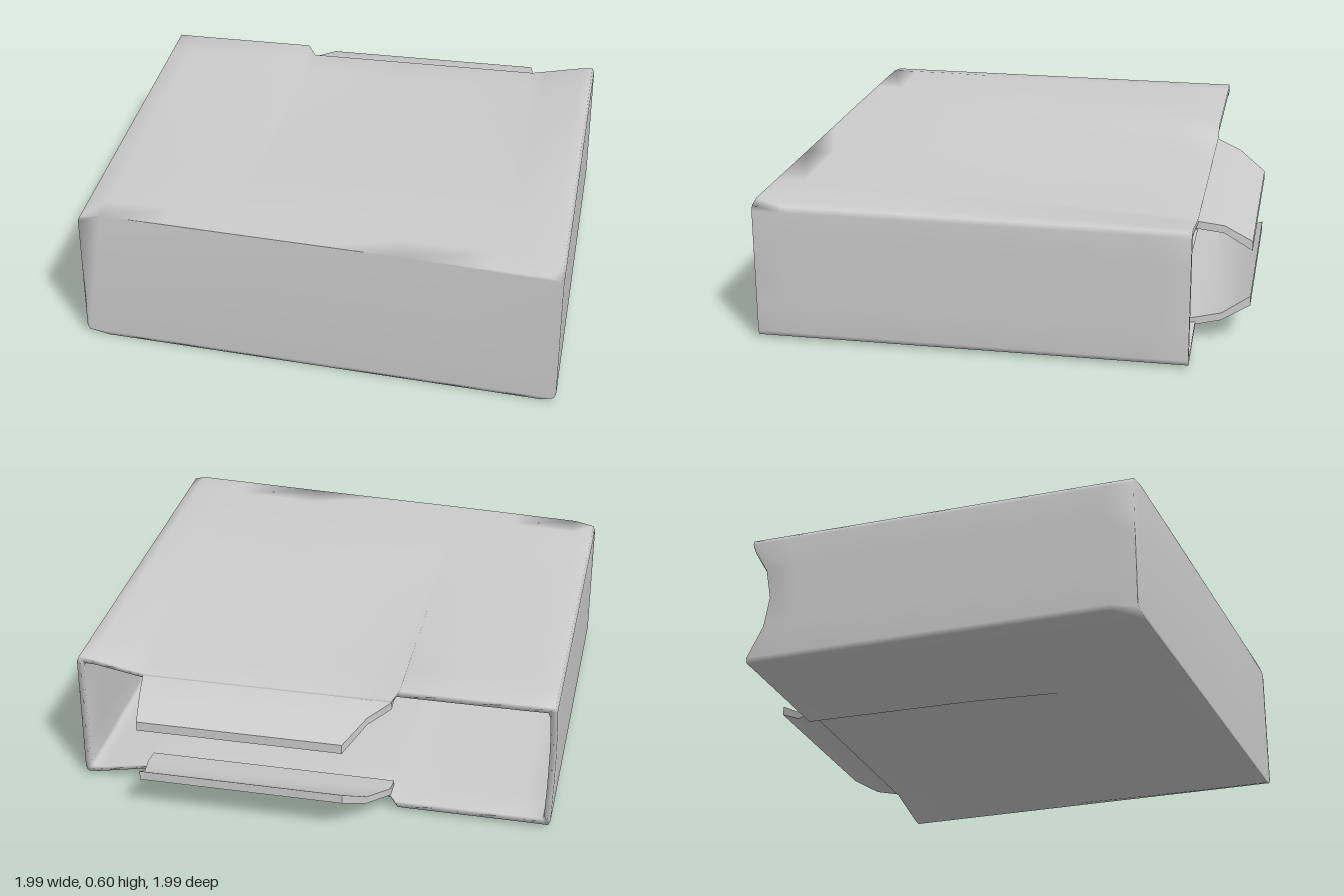
import * as THREE from 'three';
import { toCreasedNormals } from 'three/addons/utils/BufferGeometryUtils.js';

const { clamp, lerp } = THREE.MathUtils;
const MID = 0.3, BACK = -0.78;
const mat = new THREE.MeshStandardMaterial({ color: 0xcccccc, side: THREE.DoubleSide });

// Joins equal-length rings of points into a skin and caps both ends
function loft(rings) {
  const n = rings[0].length, pos = rings.flat(2), idx = [];
  for (let j = 0; j < rings.length - 1; j++) {
    for (let i = 0; i < n; i++) {
      const k = (i + 1) % n, a = j * n + i, b = j * n + k;
      idx.push(a, b, b + n, a, b + n, a + n);
    }
  }
  const cap = (ring, base, flip) => {
    const flat = ring.map(p => new THREE.Vector2(p[0], p[1]));
    for (const [a, b, c] of THREE.ShapeUtils.triangulateShape(flat, [])) {
      if (flip) idx.push(base + a, base + c, base + b);
      else idx.push(base + a, base + b, base + c);
    }
  };
  cap(rings[0], 0, true);
  cap(rings[rings.length - 1], (rings.length - 1) * n, false);
  const g = new THREE.BufferGeometry();
  g.setAttribute('position', new THREE.Float32BufferAttribute(pos, 3));
  g.setIndex(idx);
  g.computeVertexNormals();
  return g;
}

// The front end is cut at a slight angle
const frontZ = x => 0.925 + 0.065 * x;

// Half height of the wide panels: rounded at the sides, sagging to the open end
function panelHeight(x, z, top) {
  const ax = Math.abs(x);
  if (ax > 0.97) return 0.283;
  const crown = top ? 0.009 * clamp(1 - Math.abs(z - 0.6) / 0.4, 0, 1) * clamp(1 - Math.abs(x + 0.3) / 0.7, 0, 1) : 0;
  const taper = 0.016 * clamp((0.6 - z) / 1.38, 0, 1);
  const inDip = x < -0.34 ? 0 : clamp((0.95 - x) / 0.24, 0, 1);
  const sag = 0.048 * inDip * clamp((0.43 - z) / 1.21, 0, 1);
  return 0.298 + crown - taper - sag;
}

const columns = [-0.988, -0.9, -0.62, -0.36, -0.33, 0, 0.35, 0.71, 0.78, 0.94, 0.988];
const sideHeights = [-0.262, -0.13, 0, 0.13, 0.262];

// One section of the sleeve, s = 0 at the open end and 1 at the closed end
function section(s, inner) {
  const at = (x, yOf) => {
    let z = lerp(BACK, frontZ(x), s);
    const y = yOf(z);
    // Curved notch in the rear edge of one narrow side
    if (x < -0.99) z += 0.09 * (1 - (y / 0.262) ** 2) * clamp(1 - s * 5, 0, 1);
    return inner
      ? [x * 0.972, MID + y * 0.905, z - 0.03 * s]
      : [x, MID + y, z];
  };
  return [
    ...columns.map(x => at(x, z => -panelHeight(x, z, false))),
    ...sideHeights.map(y => at(0.997, () => y)),
    ...[...columns].reverse().map(x => at(x, z => panelHeight(x, z, true))),
    ...[...sideHeights].reverse().map(y => at(-0.997, () => y)),
  ];
}

// Curved tongue on a wide panel; side = 1 for the top, -1 for the bottom
function tongue(side) {
  // z, narrow end x, wide end x, outer and inner half height
  const stations = [
    [-1, -0.17, 0.68, 0.14, 0.1],
    [-0.885, -0.25, 0.697, 0.207, 0.175],
    [-0.78, -0.33, 0.715, 0.226, 0.194],
    [-0.7, -0.33, 0.715, 0.236, 0.208],
  ];
  const rings = stations.map(([z, x0, x1, out, inn]) => {
    const [lo, hi] = side > 0 ? [inn, out] : [-out, -inn];
    return [[x0, MID + lo, z], [x1, MID + lo, z], [x1, MID + hi, z], [x0, MID + hi, z]];
  });
  return toCreasedNormals(loft(rings), 0.8);
}

export function createModel() {
  const group = new THREE.Group();
  const add = (geometry, name) => {
    const mesh = new THREE.Mesh(geometry, mat);
    mesh.name = name;
    group.add(mesh);
  };

  // Hollow sleeve: inner lining from the closed end to the mouth, then the outside back
  const steps = [0, 0.1, 0.2, 0.45, 0.7, 0.83, 0.93, 1];
  add(loft([
    ...[...steps].reverse().map(s => section(s, true)),
    ...steps.map(s => section(s, false)),
  ]), 'sleeve');

  add(tongue(1), 'topFlap');
  add(tongue(-1), 'bottomFlap');
  return group;
}
